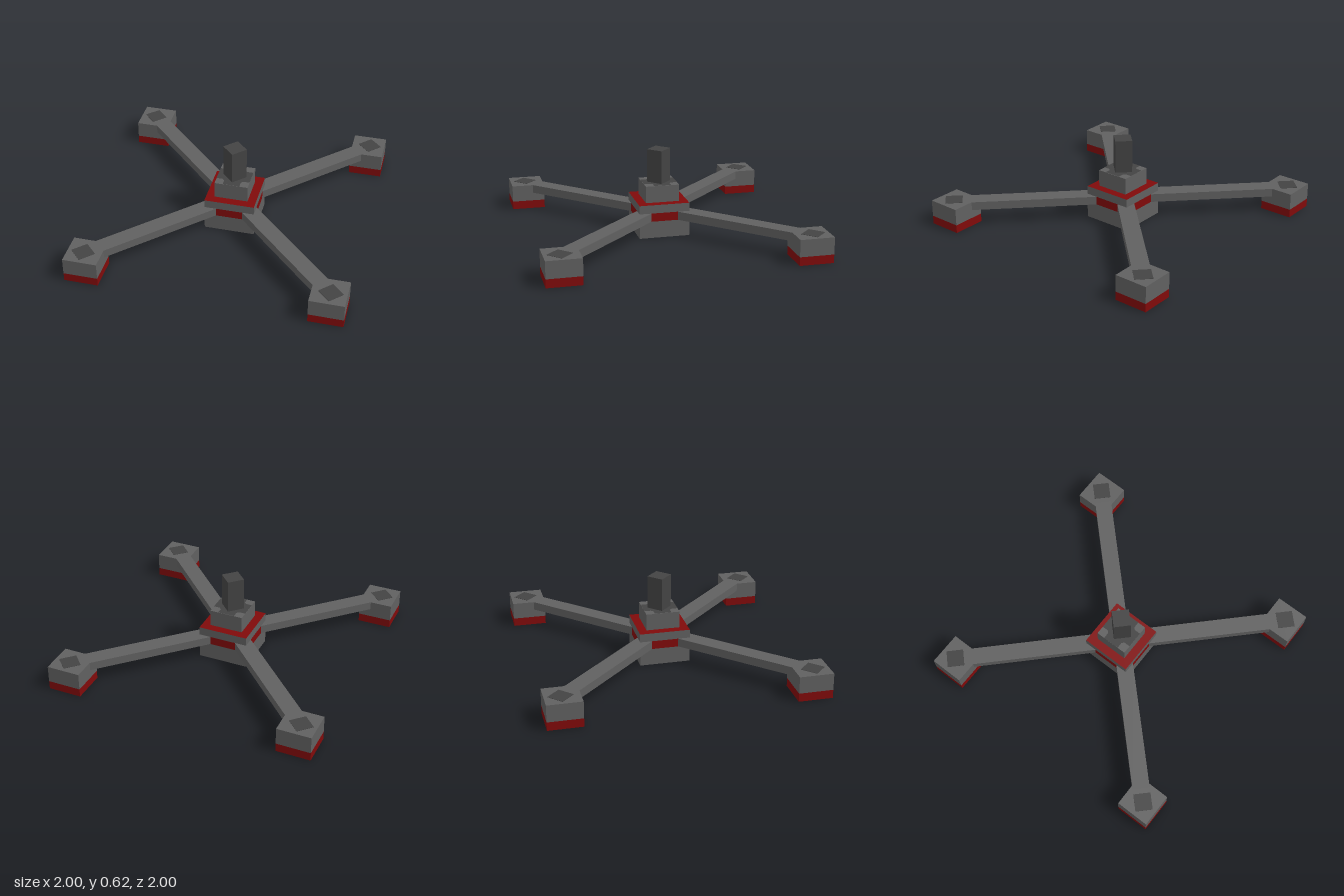
import * as THREE from 'three';

const U = 1 / 16; // base module of the design

export function createModel() {
  const make = (name, color) => {
    const m = new THREE.MeshStandardMaterial({ color });
    m.name = name;
    return m;
  };
  const gray = make('steel gray', 0x606060);
  const dark = make('dark gray', 0x434343);
  const red = make('deep red', 0x800a0a);

  const model = new THREE.Group();
  model.name = 'dronePad';

  // Box standing on height y; the material may be a six-entry list per face
  const box = (parent, name, [w, h, d], y, material) => {
    const mesh = new THREE.Mesh(new THREE.BoxGeometry(w, h, d), material);
    mesh.name = name;
    mesh.position.y = y + h / 2;
    parent.add(mesh);
    return mesh;
  };

  // Central hub: gray base, red band, gray collar with a red top
  const hub = new THREE.Group();
  hub.name = 'hub';
  model.add(hub);
  box(hub, 'hubBase', [6 * U, 2 * U, 6 * U], 0, gray);
  box(hub, 'hubBand', [6 * U, U, 6 * U], 2 * U, red);
  box(hub, 'hubCollar', [6 * U, U, 6 * U], 3 * U, [gray, gray, red, gray, gray, gray]);
  box(hub, 'hubCap', [4 * U, 2 * U, 4 * U], 4 * U, gray);

  // Dark cross-shaped inlay on the cap, leaving gray corners
  const a = 2 * U, b = U, c = 0.078;
  const cross = new THREE.Shape();
  const quarter = [[a, b], [c, b], [b, c], [b, a]];
  const points = [];
  for (let i = 0; i < 4; i++) {
    for (const [x, y] of quarter) {
      points.push(new THREE.Vector2(x, y).rotateAround(new THREE.Vector2(), i * Math.PI / 2));
    }
  }
  cross.setFromPoints(points);
  const inlay = new THREE.Mesh(new THREE.ShapeGeometry(cross), dark);
  inlay.name = 'capInlay';
  inlay.rotation.x = -Math.PI / 2;
  inlay.position.y = 6 * U + 0.002;
  hub.add(inlay);

  // Square post turned by 45 degrees
  box(hub, 'post', [2 * U, 4 * U, 2 * U], 6 * U, dark).rotation.y = Math.PI / 4;

  // Four diagonal arms, each ending in a foot
  const armStart = 0.17, armEnd = 1.15;
  for (const sx of [-1, 1]) {
    for (const sz of [-1, 1]) {
      const limb = new THREE.Group();
      limb.name = (sz > 0 ? 'front' : 'back') + (sx > 0 ? 'Left' : 'Right') + 'Limb';
      model.add(limb);

      const arm = box(limb, 'arm', [2 * U, U, armEnd - armStart], 2 * U, gray);
      const mid = (armStart + armEnd) / 2 * Math.SQRT1_2;
      arm.position.x = sx * mid;
      arm.position.z = sz * mid;
      arm.rotation.y = sx * sz * Math.PI / 4;

      const foot = new THREE.Group();
      foot.name = 'foot';
      foot.position.set(sx * 14 * U, 0, sz * 14 * U);
      limb.add(foot);
      box(foot, 'footBand', [4 * U, U, 4 * U], 0, [red, red, red, gray, red, red]);
      box(foot, 'footBlock', [4 * U, 2 * U, 4 * U], U, gray);

      // Dark diamond inlay on the foot
      const diamond = box(foot, 'footInlay', [2 * U, 0.004, 2 * U], 3 * U - 0.002, dark);
      diamond.position.x = sx * 0.01;
      diamond.position.z = sz * 0.01;
      diamond.rotation.y = Math.PI / 4;
    }
  }
  return model;
}
